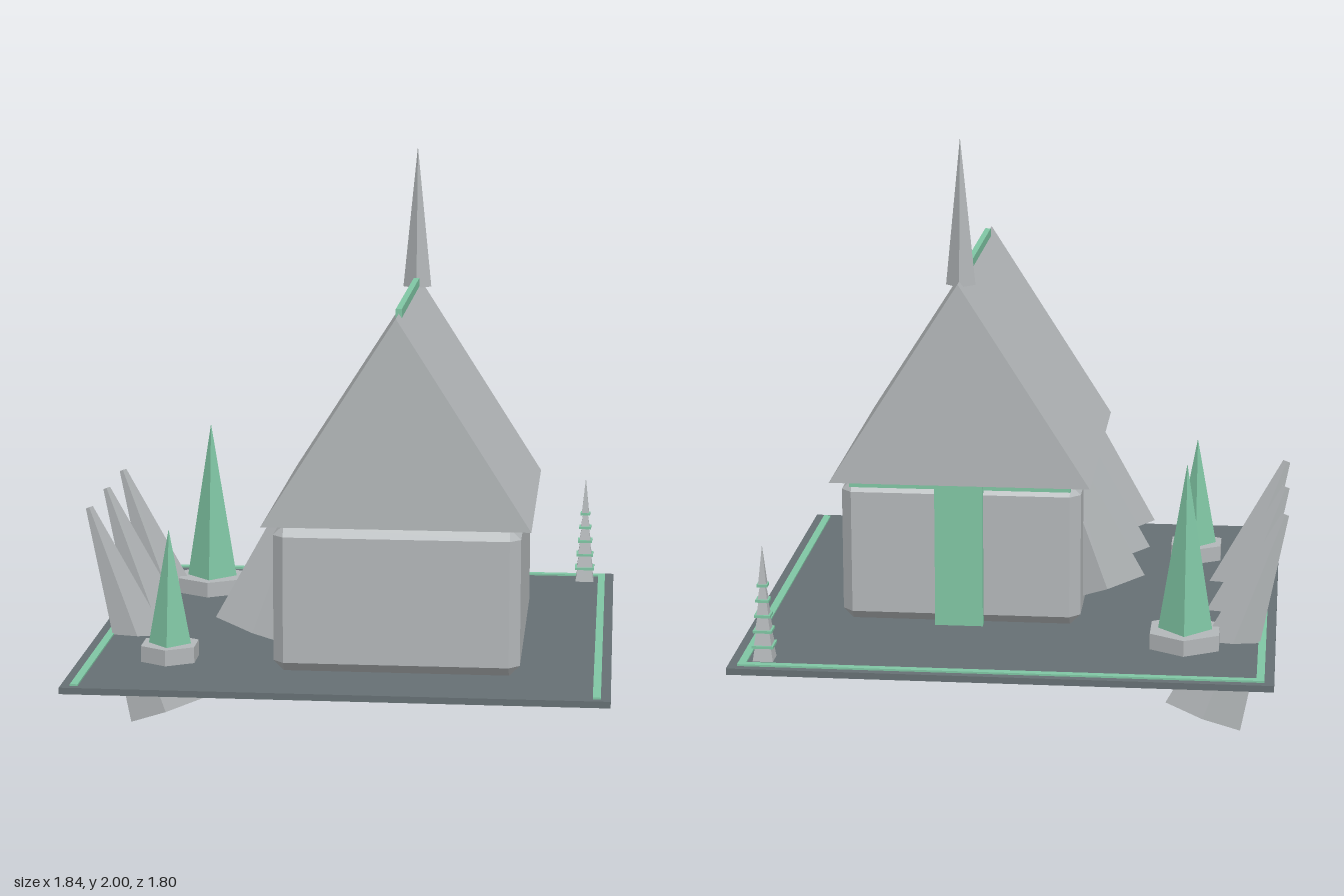
import * as THREE from 'three';
import { ConvexGeometry } from 'three/addons/geometries/ConvexGeometry.js';

export function createModel() {
  const model = new THREE.Group();
  const paint = (name, hex) => {
    const m = new THREE.MeshStandardMaterial({ color: hex, flatShading: true });
    m.name = name;
    return m;
  };
  const stone = paint('pale stone', 0xb3b7b9);
  const slate = paint('slate', 0x667074);
  const mint = paint('mint green', 0x80c6a4);

  const add = (name, geo, mat, x = 0, y = 0, z = 0, parent = model) => {
    const mesh = new THREE.Mesh(geo, mat);
    mesh.name = name;
    mesh.position.set(x, y, z);
    parent.add(mesh);
    return mesh;
  };
  // box given by its min and max corners
  const block = (name, mat, [x0, x1], [y0, y1], [z0, z1]) =>
    add(name, new THREE.BoxGeometry(x1 - x0, y1 - y0, z1 - z0), mat,
      (x0 + x1) / 2, (y0 + y1) / 2, (z0 + z1) / 2);

  // ground slab with its edge strips
  block('groundSlab', slate, [-0.885, 0.915], [0.298, 0.32], [-0.9, 0.9]);
  block('leftStrip', mint, [0.857, 0.883], [0.315, 0.326], [-0.87, 0.875]);
  block('rightStrip', mint, [-0.853, -0.827], [0.315, 0.326], [-0.87, 0.875]);
  block('backStrip', mint, [-0.853, 0.883], [0.315, 0.3265], [-0.873, -0.847]);

  // hall: box with every edge chamfered
  const hx = 0.412, hy = 0.25, hz = 0.507, b = 0.036;
  const corners = [];
  for (const sx of [-1, 1]) for (const sy of [-1, 1]) for (const sz of [-1, 1]) {
    corners.push(
      new THREE.Vector3(sx * hx, sy * (hy - b), sz * (hz - b)),
      new THREE.Vector3(sx * (hx - b), sy * hy, sz * (hz - b)),
      new THREE.Vector3(sx * (hx - b), sy * (hy - b), sz * hz));
  }
  add('hall', new ConvexGeometry(corners), stone, 0.2, 0.568, 0.14);

  // gabled roof
  const gable = new THREE.Shape([
    new THREE.Vector2(-0.447, 0.82), new THREE.Vector2(0.447, 0.82), new THREE.Vector2(0, 1.52)]);
  add('roof', new THREE.ExtrudeGeometry(gable, { depth: 1.065, bevelEnabled: false }),
    stone, 0.2, 0, -0.395);
  block('ridgeStrip', mint, [0.19, 0.21], [1.505, 1.535], [-0.26, 0.545]);
  add('spire', new THREE.ConeGeometry(0.05, 0.5, 4), stone, 0.2, 1.75, -0.3);

  // back door and the trim under the eave
  block('door', mint, [0.12, 0.285], [0.32, 0.83], [-0.39, -0.35]);
  block('eaveTrim', mint, [-0.18, 0.58], [0.803, 0.825], [-0.38, -0.355]);

  // flat tapering fins: base centre, length and lean about z
  const fin = (name, x, y, z, length, lean) => {
    const geo = new THREE.CylinderGeometry(0.136 - 0.159 * length, 0.136, length, 4);
    geo.translate(0, length / 2, 0);
    geo.scale(1, 1, 0.2);
    add(name, geo, stone, x, y, z).rotation.z = lean;
  };
  for (let i = 0; i < 3; i++) {
    fin('outerFin', -0.643, 0.05, 0.197 - 0.337 * i, 0.772, 0.35);
    fin('buttressFin', -0.298, 0.415, 0.472 - 0.337 * i, 0.65, -0.35);
  }

  // pyramid trees on hexagonal planters
  const tree = (z, planterR, treeR, top) => {
    add('planter', new THREE.CylinderGeometry(planterR, planterR, 0.055, 6), stone, -0.58, 0.3475, z);
    const h = top - 0.37;
    add('tree', new THREE.ConeGeometry(treeR, h, 4), mint, -0.58, 0.37 + h / 2, z);
  };
  tree(-0.508, 0.134, 0.092, 0.95);
  tree(0.5, 0.105, 0.073, 0.77);

  // small tiered tower in the back corner
  const tower = new THREE.Group();
  tower.name = 'tieredTower';
  tower.position.set(0.806, 0.32, -0.79);
  tower.rotation.y = Math.PI / 4;
  model.add(tower);
  const r2 = Math.SQRT2;
  for (let i = 0; i < 5; i++) {
    const w = 0.034 - 0.0045 * i;
    add('towerTier', new THREE.CylinderGeometry((w - 0.008) * r2, w * r2, 0.052, 4), stone,
      0, 0.026 + 0.052 * i, 0, tower);
    add('towerLedge', new THREE.CylinderGeometry((w + 0.002) * r2, (w + 0.002) * r2, 0.009, 4), mint,
      0, 0.05 + 0.052 * i, 0, tower);
  }
  add('towerTip', new THREE.ConeGeometry(0.014 * r2, 0.14, 4), stone, 0, 0.325, 0, tower);

  return model;
}
